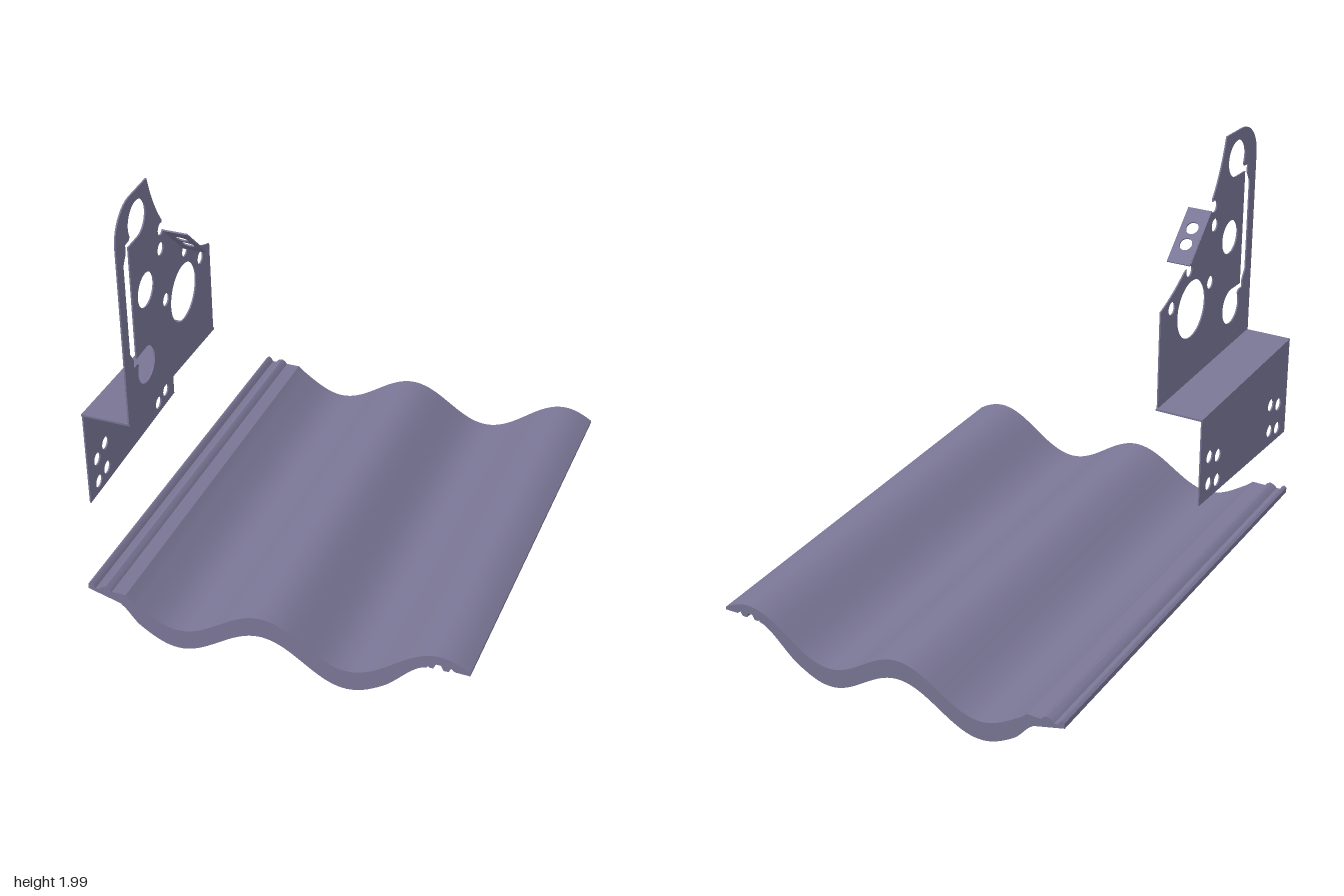
import * as THREE from 'three';
import { toCreasedNormals } from 'three/addons/utils/BufferGeometryUtils.js';

const SHEET = 0.006; // sheet metal thickness
const material = new THREE.MeshStandardMaterial({ color: 0x7a7696 });

function extruded(name, shape, depth) {
  const geometry = new THREE.ExtrudeGeometry(shape, { depth, bevelEnabled: false, curveSegments: 24 });
  const mesh = new THREE.Mesh(toCreasedNormals(geometry, 0.5), material);
  mesh.name = name;
  return mesh;
}

const polygon = (points) => new THREE.Shape(points.map(([x, y]) => new THREE.Vector2(x, y)));

function punch(shape, x, y, r) {
  shape.holes.push(new THREE.Path().absarc(x, y, r, 0, Math.PI * 2, true));
}

// Sheet drawn in the z-y plane, thickened towards -x
function sidePlate(name, shape, x, depth = SHEET) {
  const mesh = extruded(name, shape, depth);
  mesh.rotation.y = -Math.PI / 2;
  mesh.position.x = x;
  return mesh;
}

// Two-roll wave with valleys at x = -0.4 and 0.3
const wave = (x, mean, amp) => mean - amp * Math.cos(((x + 0.4) / 0.35) * Math.PI);
const step = THREE.MathUtils.smoothstep;
const topY = (x) => wave(x, 0.235, 0.075) + 0.032 * step(x, 0.4, 0.79);
const underY = (x) => wave(x, 0.1975, 0.0475) + 0.037 * step(x, 0.42, 0.62);
const ribY = (x) => wave(x, 0.15, 0.075) + 0.05 * step(x, 0.45, 0.62)
  + 0.03 * step(-x, 0.56, 0.64);

function sample(fn, from, to, n = 72) {
  return Array.from({ length: n + 1 }, (_, i) => {
    const x = from + ((to - from) * i) / n;
    return [x, fn(x)];
  });
}

function createTile() {
  const tile = new THREE.Group();
  tile.name = 'roofTile';
  const length = 1.91, ribDepth = 0.048;

  // Thin wavy body with interlocking grooves along both long edges
  const body = polygon([
    [-0.78, 0.262], [-0.64, 0.224],
    ...sample(underY, -0.63, 0.62),
    [0.63, 0.274], [0.645, 0.274], [0.655, 0.295], [0.675, 0.295], [0.685, 0.274],
    [0.705, 0.274], [0.715, 0.292], [0.73, 0.28], [0.79, 0.278],
    ...sample(topY, 0.79, -0.595),
    [-0.62, 0.27], [-0.68, 0.27], [-0.69, 0.282], [-0.705, 0.29], [-0.722, 0.283],
    [-0.735, 0.27], [-0.75, 0.27], [-0.76, 0.285], [-0.77, 0.292], [-0.78, 0.285],
  ]);
  const bodyMesh = extruded('tileBody', body, length);
  bodyMesh.position.z = -length / 2;
  tile.add(bodyMesh);

  // Deeper rib under each end
  const rib = polygon([...sample(ribY, -0.64, 0.62), ...sample((x) => underY(x) + 0.004, 0.62, -0.64)]);
  for (const [name, z] of [['backRib', -length / 2], ['frontRib', length / 2 - ribDepth]]) {
    const mesh = extruded(name, rib, ribDepth);
    mesh.position.z = z;
    tile.add(mesh);
  }

  tile.rotation.x = -0.068;
  tile.position.z = 0.0145;
  return tile;
}

function createBracket() {
  const bracket = new THREE.Group();
  bracket.name = 'bracket';
  const rad = THREE.MathUtils.degToRad;

  // Upper plate, with relief notches at both ends of the bent tab
  const upper = new THREE.Shape();
  upper.moveTo(0.05, 1.035);
  upper.lineTo(0.85, 1.09);
  upper.lineTo(0.85, 1.86);
  upper.absarc(0.71, 1.86, 0.14, 0, Math.PI / 2, false);
  upper.lineTo(0.57, 2);
  upper.quadraticCurveTo(0.535, 1.87, 0.468, 1.775);
  upper.absarc(0.48, 1.74, 0.025, rad(120), rad(-150), true);
  upper.lineTo(0.292, 1.557);
  upper.absarc(0.28, 1.535, 0.025, rad(60), rad(-210), true);
  upper.lineTo(0.24, 1.54);
  upper.quadraticCurveTo(0.15, 1.475, 0.05, 1.44);
  upper.closePath();

  // Large and small round holes
  for (const [z, y, r] of [
    [0.635, 1.565, 0.07], [0.31, 1.365, 0.12],
    [0.49, 1.66, 0.027], [0.47, 1.425, 0.027], [0.14, 1.425, 0.027],
  ]) punch(upper, z, y, r);

  // C-shaped opening: two round ends joined by a narrow slot
  const slot = new THREE.Path();
  slot.moveTo(0.67, 1.81);
  slot.absarc(0.67, 1.885, 0.075, rad(270), rad(-30), true);
  for (const [z, y] of [
    [0.745, 1.835], [0.775, 1.835], [0.775, 1.8], [0.8, 1.76],
    [0.8, 1.38], [0.775, 1.34], [0.775, 1.305], [0.745, 1.305],
  ]) slot.lineTo(z, y);
  slot.absarc(0.67, 1.255, 0.075, rad(30), rad(-270), true);
  slot.lineTo(0.75, 1.33);
  slot.lineTo(0.75, 1.81);
  slot.closePath();
  upper.holes.push(slot);
  bracket.add(sidePlate('upperPlate', upper, -0.597));

  // Sloping shelf between the plates
  const shelf = polygon([[0.042, 1.03], [0.845, 1.084], [0.845, 1.092], [0.042, 1.038]]);
  bracket.add(sidePlate('shelf', shelf, -0.597, 0.203));

  // Lower plate with two groups of four screw holes
  const lower = polygon([[0.042, 0.667], [0.84, 0.667], [0.84, 1.09], [0.042, 1.036]]);
  for (const z of [0, 0.565]) {
    for (const [dz, y] of [[0.195, 0.825], [0.12, 0.85], [0.195, 0.717], [0.12, 0.732]]) {
      punch(lower, z + dz, y, 0.027);
    }
  }
  bracket.add(sidePlate('lowerPlate', lower, -0.794));

  // Tab bent out at a slant, with two holes
  const tabShape = polygon([[0, -0.122], [0.1, -0.122], [0.1, 0.122], [0, 0.122]]);
  for (const v of [-0.036, 0.036]) punch(tabShape, 0.05, v, 0.026);
  const tab = extruded('tab', tabShape, SHEET);
  tab.rotation.x = Math.PI / 4;
  tab.position.set(-0.6, 1.64, 0.372);
  bracket.add(tab);
  return bracket;
}

export function createModel() {
  const model = new THREE.Group();
  model.name = 'roofTileAndBracket';
  model.add(createTile(), createBracket());
  return model;
}
